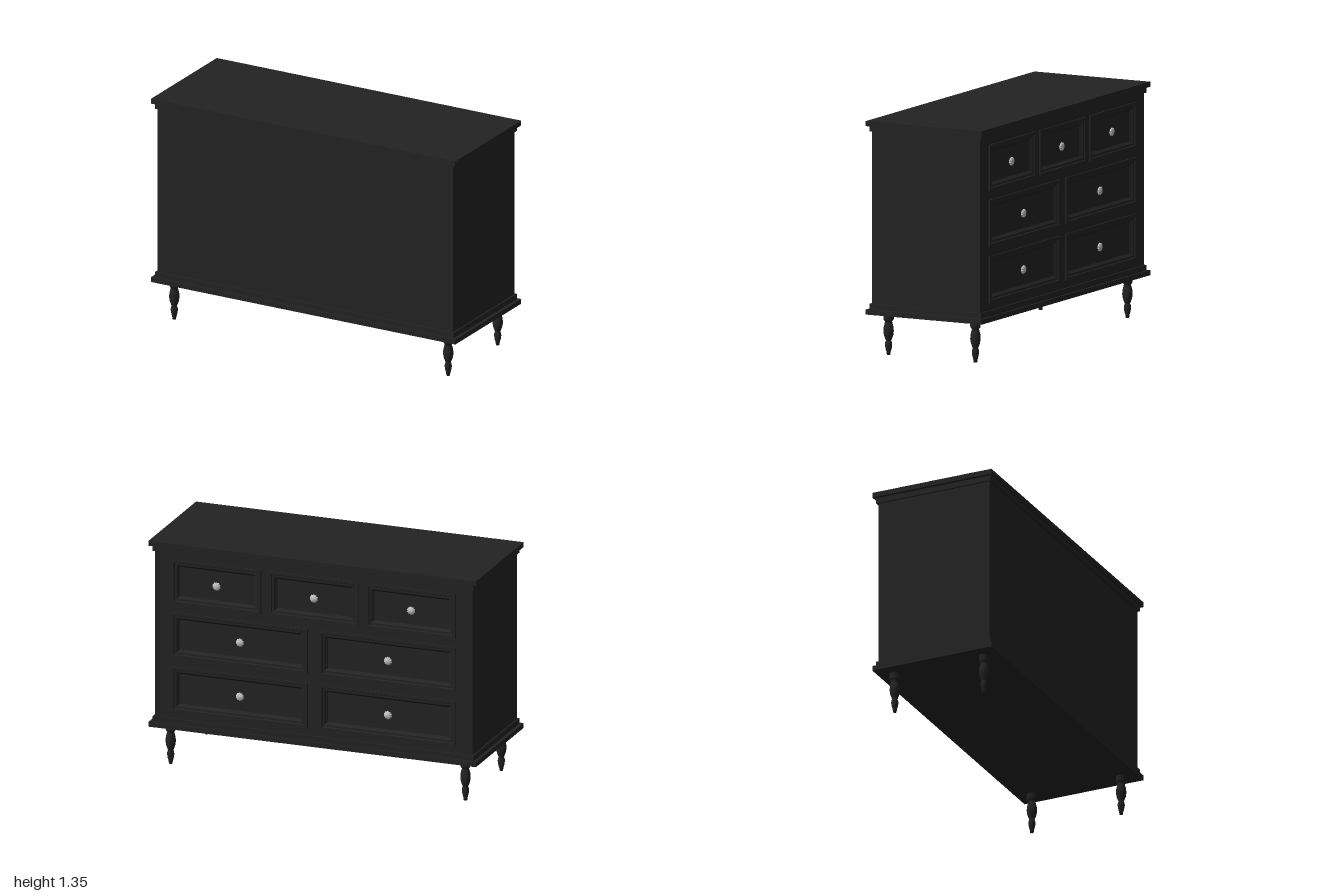
import * as THREE from 'three';

export function createModel() {
  const black = new THREE.MeshStandardMaterial({ color: 0x232323 });
  black.name = 'black paint';
  const silver = new THREE.MeshStandardMaterial({ color: 0xc4c4c4 });
  silver.name = 'silver metal';

  const model = new THREE.Group();
  model.name = 'dresser';

  const add = (parent, name, geometry, material, x = 0, y = 0, z = 0) => {
    const mesh = new THREE.Mesh(geometry, material);
    mesh.name = name;
    mesh.position.set(x, y, z);
    parent.add(mesh);
    return mesh;
  };

  // Slab centred on the origin, from height y0 to y1
  const slab = (name, width, depth, y0, y1, z = 0) =>
    add(model, name, new THREE.BoxGeometry(width, y1 - y0, depth), black, 0, (y0 + y1) / 2, z);

  // Carcass and its stepped top and base
  slab('carcass', 1.94, 0.68, 0.29, 1.3, 0.01);
  slab('topMoulding', 1.96, 0.724, 1.293, 1.325);
  slab('topBoard', 2, 0.752, 1.325, 1.354);
  slab('baseMoulding', 1.96, 0.724, 0.267, 0.299);
  slab('baseBoard', 2, 0.752, 0.238, 0.267);

  // Drawer layout: three over two over two
  const drawers = [];
  for (const x of [-0.594, 0, 0.594]) drawers.push({ x, y: 1.121, w: 0.547, h: 0.266 });
  for (const y of [0.801, 0.476]) {
    for (const x of [-0.452, 0.452]) drawers.push({ x, y, w: 0.832, h: 0.27 });
  }

  // Drawer side, built facing +z and turned to the -z face
  const drawerSide = new THREE.Group();
  drawerSide.name = 'drawerSide';
  drawerSide.rotation.y = Math.PI;
  model.add(drawerSide);

  const rectangle = (path, x, y, w, h) => {
    path.moveTo(x - w / 2, y - h / 2);
    path.lineTo(x + w / 2, y - h / 2);
    path.lineTo(x + w / 2, y + h / 2);
    path.lineTo(x - w / 2, y + h / 2);
    path.closePath();
    return path;
  };

  // Face frame with an opening for each drawer
  const frame = rectangle(new THREE.Shape(), 0, 0.796, 1.94, 1.0);
  for (const d of drawers) frame.holes.push(rectangle(new THREE.Path(), d.x, d.y, d.w, d.h));
  add(drawerSide, 'faceFrame',
    new THREE.ExtrudeGeometry(frame, { depth: 0.021, bevelEnabled: false }), black, 0, 0, 0.329);

  // Drawer front: nested rectangles of [inset, depth] form a mitred moulding
  const moulding = [[0, 0.33], [0, 0.36], [0.016, 0.36], [0.02, 0.353],
    [0.032, 0.353], [0.037, 0.346], [0.046, 0.337]];
  const drawerFront = (w, h) => {
    const loops = moulding.map(([inset, z]) => {
      const a = w / 2 - inset, b = h / 2 - inset;
      return [[-a, -b, z], [a, -b, z], [a, b, z], [-a, b, z]];
    });
    const positions = [];
    const quad = (a, b, c, d) => positions.push(...a, ...b, ...c, ...a, ...c, ...d);
    for (let i = 0; i < loops.length - 1; i++) {
      for (let j = 0; j < 4; j++) {
        const k = (j + 1) % 4;
        quad(loops[i][j], loops[i][k], loops[i + 1][k], loops[i + 1][j]);
      }
    }
    quad(...loops[loops.length - 1]);
    const geometry = new THREE.BufferGeometry();
    geometry.setAttribute('position', new THREE.Float32BufferAttribute(positions, 3));
    geometry.computeVertexNormals();
    return geometry;
  };

  // Fluted knob: a lathed button whose rim is pushed in and out
  const knobProfile = [[0.009, 0], [0.009, 0.005], [0.02, 0.008], [0.024, 0.013],
    [0.021, 0.019], [0.012, 0.023], [0, 0.0245]].map(p => new THREE.Vector2(...p));
  const knob = new THREE.LatheGeometry(knobProfile, 60);
  const kp = knob.attributes.position;
  for (let i = 0; i < kp.count; i++) {
    const x = kp.getX(i), z = kp.getZ(i);
    const s = 1 + 0.09 * Math.cos(10 * Math.atan2(x, z));
    kp.setXYZ(i, x * s, kp.getY(i), z * s);
  }
  knob.rotateX(Math.PI / 2);
  knob.computeVertexNormals();

  for (const d of drawers) {
    add(drawerSide, 'drawerFront', drawerFront(d.w, d.h), black, d.x, d.y, 0);
    add(drawerSide, 'knob', knob, silver, d.x, d.y, 0.336);
  }

  // Turned legs
  const legProfile = [[0, 0], [0.01, 0], [0.012, 0.015], [0.018, 0.038], [0.021, 0.058],
    [0.019, 0.072], [0.015, 0.08], [0.018, 0.088], [0.026, 0.11], [0.03, 0.135],
    [0.028, 0.16], [0.022, 0.184], [0.02, 0.192], [0.027, 0.2], [0.03, 0.207],
    [0.03, 0.24]].map(p => new THREE.Vector2(...p));
  const leg = new THREE.LatheGeometry(legProfile, 24);
  for (const x of [-0.9, 0.9]) {
    for (const z of [-0.282, 0.282]) add(model, 'leg', leg, black, x, 0, z);
  }

  return model;
}
